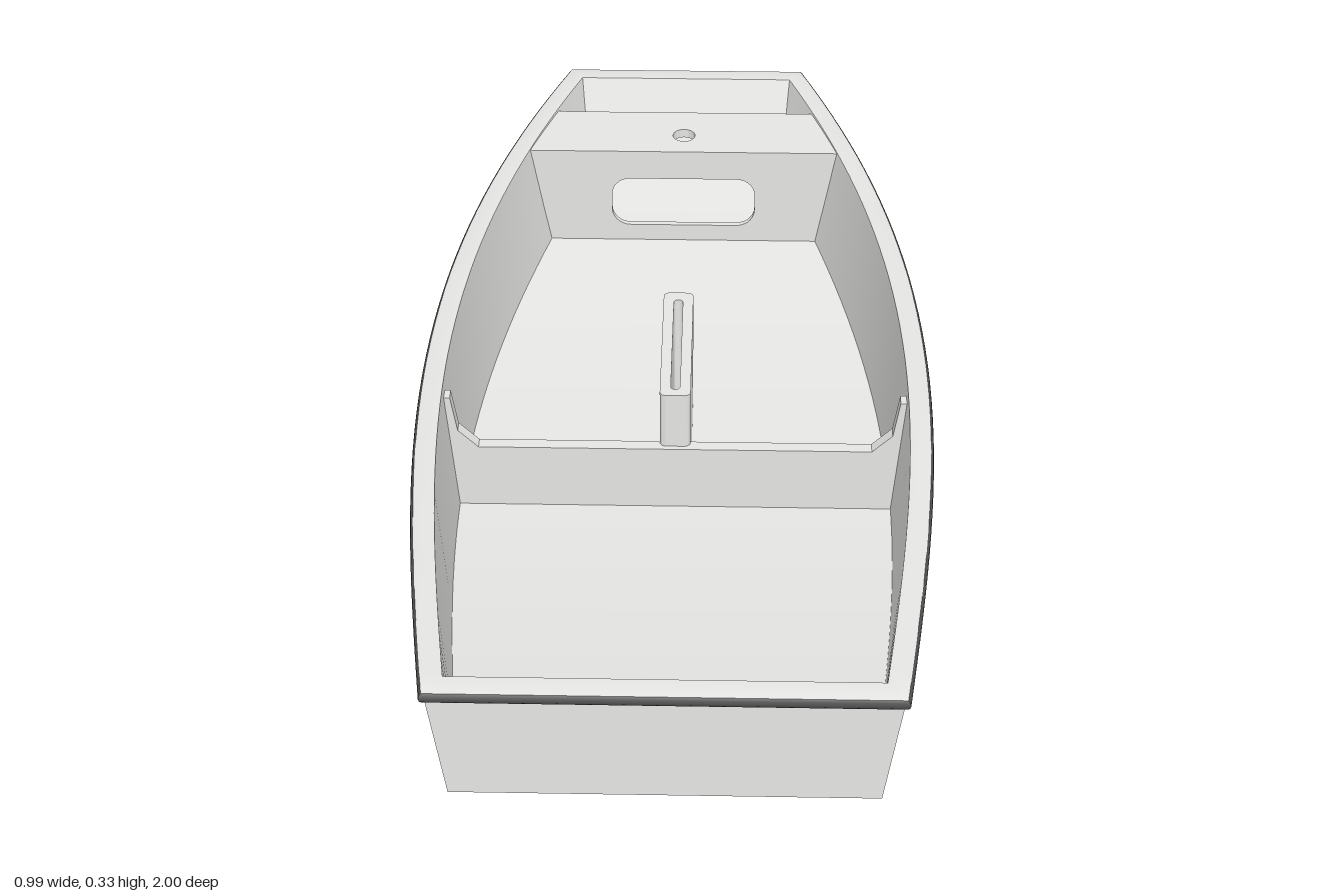
import * as THREE from 'three';
import { toCreasedNormals } from 'three/addons/utils/BufferGeometryUtils.js';

// smooth curve through values given at z = 1, .5, 0, -.5, -1
const curve = (v) => (z) => {
  const u = (1 - z) * 2;
  return v.reduce((sum, vi, i) => {
    let w = vi;
    for (let j = 0; j < 5; j++) if (j !== i) w *= (u - j) / (i - j);
    return sum + w;
  }, 0);
};

// hull lines
const gunHalf = curve([0.42, 0.48, 0.49, 0.42, 0.26]);
const chineHalf = curve([0.38, 0.428, 0.434, 0.352, 0.183]);
const keelY = curve([0.056, 0.009, 0.005, 0.048, 0.118]);
const sheerY = (z) => 0.3105 - 0.018 * z;

// stations from stern to bow, including both ends of the board slot
const SLOT = [0.459, 0.615];
const stations = [...SLOT];
for (let i = 0; i <= 36; i++) stations.push(i / 36);
stations.sort((a, b) => a - b);

// one level of the hull: points down its left side, from stern to bow
const level = (half, inset, y, lift, zStern, zBow) => stations.map((t) => {
  const z = zStern + (zBow - zStern) * t;
  return [half(z) - inset, y(z) + lift, z];
});
const closed = (lv) => [...lv, ...lv.map(([x, y, z]) => [-x, y, z]).reverse()];
const quad = (out, a, b, c, d) => out.push(...a, ...b, ...c, ...a, ...c, ...d);

function build(positions) {
  const g = new THREE.BufferGeometry();
  g.setAttribute('position', new THREE.Float32BufferAttribute(positions, 3));
  return toCreasedNormals(g, 0.6);
}

// closed bands between successive rings of points
function bands(rings) {
  const out = [];
  for (let k = 0; k < rings.length - 1; k++) {
    const a = rings[k], b = rings[k + 1], n = a.length;
    for (let i = 0; i < n; i++) {
      const j = (i + 1) % n;
      quad(out, a[i], a[j], b[j], b[i]);
    }
  }
  return build(out);
}

// flat-bottomed panel across a level, leaving the slot open
function panel(lv, up) {
  const out = [];
  for (let i = 0; i < lv.length - 1; i++) {
    const row = ([x, y, z]) => [-x, -0.009, 0.009, x].map((px) => [px, y, z]);
    const a = row(lv[i]), b = row(lv[i + 1]);
    const inSlot = stations[i] >= SLOT[0] && stations[i + 1] <= SLOT[1];
    for (let c = 0; c < 3; c++) {
      if (c === 1 && inSlot) continue;
      if (up) quad(out, a[c], a[c + 1], b[c + 1], b[c]);
      else quad(out, a[c], b[c], b[c + 1], a[c + 1]);
    }
  }
  return build(out);
}

// rounded rectangle as eight points for each corner, anticlockwise from bottom left
function roundRect(x0, y0, x1, y1, r) {
  const centres = [[x0 + r, y0 + r], [x1 - r, y0 + r], [x1 - r, y1 - r], [x0 + r, y1 - r]];
  return centres.flatMap(([cx, cy], k) => Array.from({ length: 8 }, (_, i) => {
    const a = Math.PI + (k + i / 7) * Math.PI / 2;
    return [cx + r * Math.cos(a), cy + r * Math.sin(a)];
  }));
}

const polygon = (pts) => new THREE.Shape(pts.map(([x, y]) => new THREE.Vector2(x, y)));
const extrude = (shape, depth) => toCreasedNormals(
  new THREE.ExtrudeGeometry(shape, { depth, bevelEnabled: false, curveSegments: 12 }), 0.6);

// upright plate with four corners and a rounded opening
function piercedPlate(corners, hole, zFront, zBack) {
  const outer = corners.flatMap((c) => Array(8).fill(c));
  const at = (pts, z) => pts.map(([x, y]) => [x, y, z]);
  return bands([at(outer, zFront), at(hole, zFront), at(hole, zBack),
    at(outer, zBack), at(outer, zFront)]);
}

export function createModel() {
  const boat = new THREE.Group();
  boat.name = 'dinghy';
  const grey = new THREE.MeshStandardMaterial({ color: 0xe5e5e3 });
  grey.name = 'light grey';
  const dark = new THREE.MeshStandardMaterial({ color: 0x555555 });
  dark.name = 'dark grey';
  const add = (name, geometry, material = grey) => {
    const m = new THREE.Mesh(geometry, material);
    m.name = name;
    boat.add(m);
    return m;
  };

  // hull skin
  const chine = level(chineHalf, 0, keelY, 0, 0.996, -0.892);
  const sheer = level(gunHalf, 0.011, sheerY, -0.024, 0.992, -0.985);
  const rimTop = level(gunHalf, 0.045, sheerY, 0, 0.955, -0.96);
  const floor = level(chineHalf, 0.013, keelY, 0.02, 0.955, -0.887);
  add('outerHull', bands([chine, sheer].map(closed)));
  add('innerHull', bands([rimTop, floor].map(closed)));
  add('hullBottom', panel(chine, false));
  add('floor', panel(floor, true));

  // dark half-round rubbing strake below the light gunwale top
  const rim = [sheer];
  for (let i = 0; i <= 6; i++) {
    const a = (i / 6 - 0.5) * Math.PI;
    const inset = 0.011 * (1 - Math.cos(a));
    rim.push(level(gunHalf, inset, sheerY, 0.012 * (Math.sin(a) - 1), 1 - inset * 0.7, inset * 0.7 - 1));
  }
  add('rubbingStrake', bands(rim.slice(0, 7).map(closed)), dark);
  add('gunwaleTop', bands([...rim.slice(6), rimTop].map(closed)));

  // U-shaped midship frame
  const right = [[0.43, 0.015], [0.465, 0.285], [0.436, 0.285], [0.424, 0.205], [0.385, 0.165]];
  const left = right.map(([x, y]) => [-x, y]).reverse();
  add('midshipFrame', extrude(polygon([...right, ...left]), 0.025)).position.z = 0.138;

  // centreboard case, open right through the bottom
  const caseShape = polygon(roundRect(-0.03, -0.153, 0.03, 0.19, 0.012));
  caseShape.holes.push(polygon(roundRect(-0.009, -0.133, 0.009, 0.165, 0.0085)));
  const boardCase = add('centreboardCase', extrude(caseShape, 0.28));
  boardCase.rotation.x = -Math.PI / 2;
  boardCase.position.y = 0.01;

  // bow bulkhead with a hand opening, its lower corners passing the hull
  add('bowBulkhead', piercedPlate(
    [[-0.32, 0.076], [0.32, 0.076], [0.355, 0.31], [-0.355, 0.31]],
    roundRect(-0.155, 0.13, 0.155, 0.25, 0.04), -0.671, -0.683));

  // bow seat with the mast hole
  const seat = polygon([[-0.345, 0.67], [0.345, 0.67], [0.295, 0.83], [-0.295, 0.83]]);
  seat.holes.push(new THREE.Path().absarc(0, 0.737, 0.024, 0, Math.PI * 2));
  const bowSeat = add('bowSeat', extrude(seat, 0.02));
  bowSeat.rotation.x = -Math.PI / 2;
  bowSeat.position.y = 0.3;

  return boat;
}
